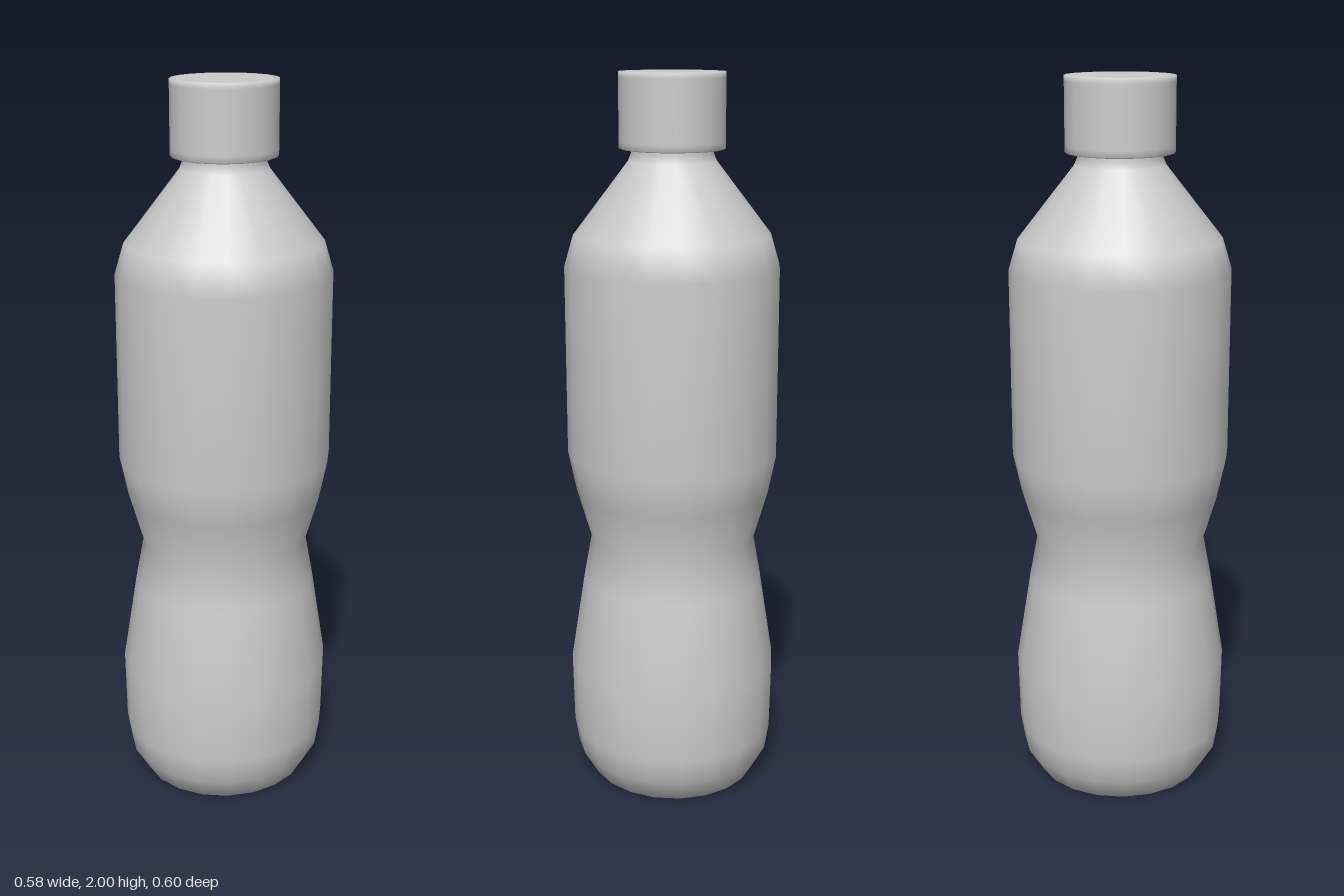
import * as THREE from 'three';

const SIDES = 20;

// Turns [radius, height] pairs, bottom to top, into a smooth slightly oval part.
function lathePart(name, profile) {
  const points = profile.map(([r, y]) => new THREE.Vector2(r, y));
  const geometry = new THREE.LatheGeometry(points, SIDES);
  geometry.scale(1, 1, 1.034);
  const mesh = new THREE.Mesh(geometry, new THREE.MeshStandardMaterial({ color: 0xcccccc }));
  mesh.name = name;
  return mesh;
}

export function createModel() {
  const bottle = new THREE.Group();
  bottle.name = 'bottle';

  // Closed base, lower bulge, pinched waist, straight upper body, shoulder and neck
  bottle.add(lathePart('body', [
    [0, 0], [0.2, 0], [0.234, 0.005], [0.275, 0.075], [0.287, 0.15], [0.291, 0.35],
    [0.252, 0.6], [0.23, 0.72], [0.27, 0.86], [0.292, 0.97],
    [0.292, 1.49], [0.267, 1.575], [0.118, 1.77], [0.11, 1.79], [0.11, 1.83],
  ]));

  // Screw cap with a softened flat top and an underside reaching the neck
  bottle.add(lathePart('cap', [
    [0.1, 1.8], [0.135, 1.8], [0.142, 1.803], [0.142, 1.82], [0.142, 1.985],
    [0.142, 2], [0.125, 2], [0, 2],
  ]));

  return bottle;
}
